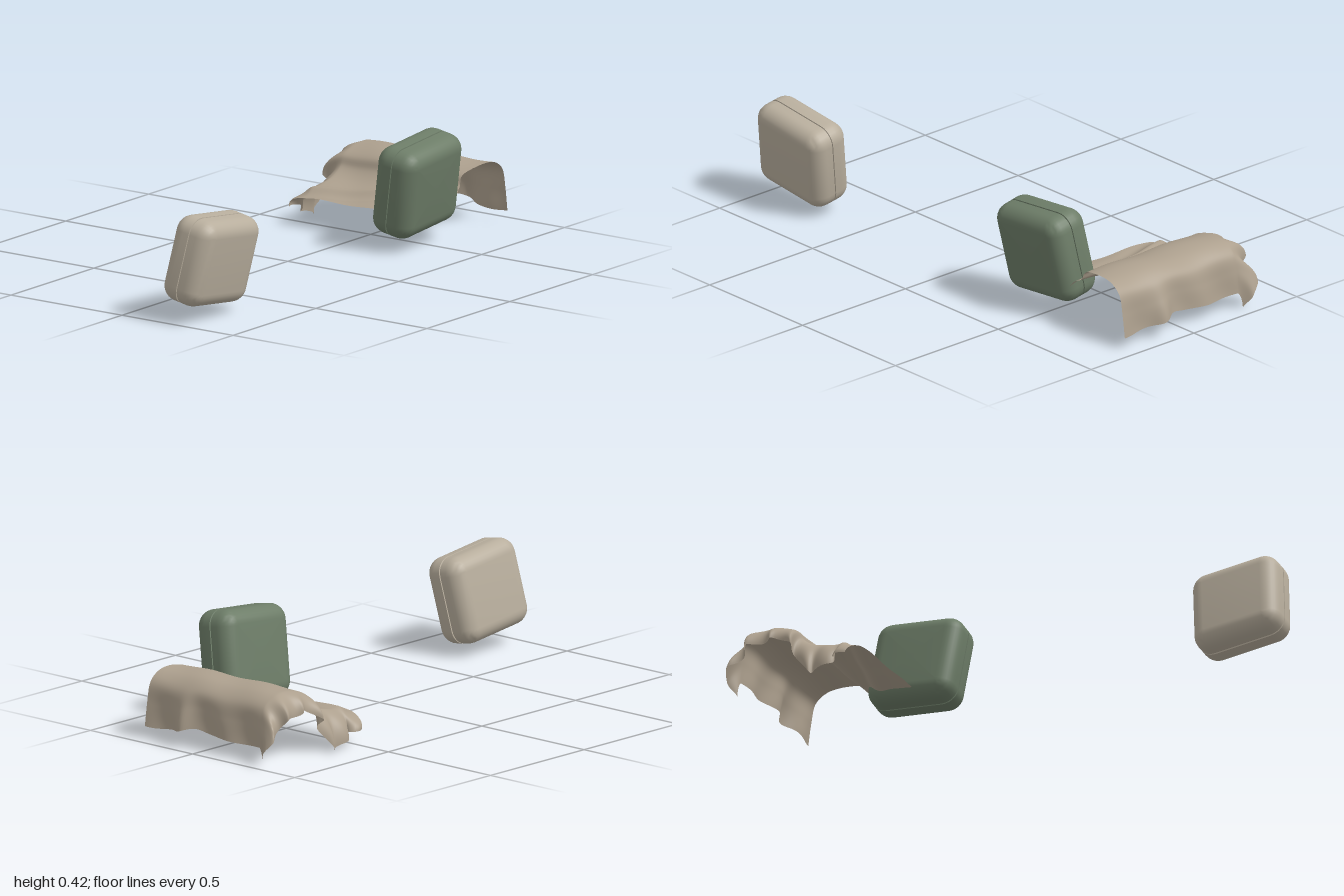
import * as THREE from 'three';
import { toCreasedNormals } from 'three/addons/utils/BufferGeometryUtils.js';

// Grid of points (rows x cols) turned into an indexed geometry
function gridGeometry(rows, cols, point) {
  const pos = [], index = [];
  for (let i = 0; i <= rows; i++)
    for (let j = 0; j <= cols; j++) pos.push(...point(i, j));
  for (let i = 0; i < rows; i++)
    for (let j = 0; j < cols; j++) {
      const a = i * (cols + 1) + j, b = a + 1, c = a + cols + 1, d = c + 1;
      index.push(a, b, c, b, d, c);
    }
  const geo = new THREE.BufferGeometry();
  geo.setAttribute('position', new THREE.Float32BufferAttribute(pos, 3));
  geo.setIndex(index);
  geo.computeVertexNormals();
  return geo;
}

// Box cushion: rounded-square rings lofted through the thickness, with a seam groove
function cushion(name, color, thick, high, long, radius = 0.06) {
  const half = thick / 2, steps = 8, inset = 0.056;
  const side = []; // [distance from the middle, inset]
  side.push([0, 0.004], [0.002, 0.004], [0.003, 0]);
  for (let k = 0; k <= steps; k++) {
    const a = (k / steps) * Math.PI / 2;
    side.push([half - inset * (1 - Math.sin(a)), inset * (1 - Math.cos(a))]);
  }
  side.push([half, null]); // closing centre point
  const rings = [
    ...side.slice(1).reverse().map(([x, e]) => [-x, e]),
    ...side,
  ];
  const perCorner = 7, cols = perCorner * 4;
  const geo = gridGeometry(rings.length - 1, cols, (i, j) => {
    const [x, e] = rings[i];
    if (e === null) return [x, 0, 0];
    const jj = j % cols, q = Math.floor(jj / perCorner);
    const a = (q + (jj % perCorner) / (perCorner - 1)) * Math.PI / 2;
    const sy = q === 0 || q === 3 ? 1 : -1, sz = q < 2 ? 1 : -1;
    const r = radius - e;
    return [x, sy * (high / 2 - radius) + r * Math.cos(a), sz * (long / 2 - radius) + r * Math.sin(a)];
  });
  const mesh = new THREE.Mesh(toCreasedNormals(geo, 0.6), new THREE.MeshStandardMaterial({ color }));
  mesh.name = name;
  return mesh;
}

// Draped blanket: one arched section swept along x, falling over at the left end
function blanket() {
  const section = new THREE.CatmullRomCurve3([
    [0.11, -0.45], [0.125, -0.54], [0.15, -0.64], [0.18, -0.683], [0.215, -0.7], [0.238, -0.745],
    [0.247, -0.81], [0.236, -0.87], [0.2, -0.915], [0.135, -0.932], [0.058, -0.942],
  ].map(([y, z]) => new THREE.Vector3(0, y, z)));
  // Hang of the left hem, from the front edge to the back edge
  const hang = new THREE.CatmullRomCurve3([0.05, 0.09, 0.14, 0.09, 0.07, 0.075, 0.08, 0.075, 0.06]
    .map((d, i) => new THREE.Vector3(i / 8, d, 0)));
  const bump = (x, c, w) => Math.exp(-(((x - c) / w) ** 2));
  const rows = 80, cols = 80;
  const geo = gridGeometry(rows, cols, (i, j) => {
    const v = j / cols, u = i / rows;
    const p = section.getPointAt(v);
    // Even run from the right end, then a curved fall over the last part
    const flat = Math.min(u / 0.75, 1), fall = Math.max((u - 0.75) / 0.25, 0);
    const rightEdge = 0.285 - 0.025 * bump(v, 0.42, 0.1);
    let x = rightEdge + (-0.27 - rightEdge) * flat;
    let { y, z } = p;
    const back = THREE.MathUtils.smoothstep(v, 0.74, 1);
    // Long diagonal fold on the front flap
    const foldZ = -0.5 - 0.27 * (x + 0.33);
    y += 0.012 * bump(z, foldZ, 0.02) * (1 - back);
    y -= 0.008 * bump(z, foldZ + 0.05, 0.03) * (1 - back);
    // Soft waves along the roll and in the hanging back
    y += 0.003 * Math.sin(x * 23 + v * 9);
    y += back * (0.018 * bump(x, 0.05, 0.05) - 0.02 * bump(x, 0.24, 0.09));
    z -= back * (0.022 * bump(x, 0.1, 0.035) + 0.008 * Math.sin(x * 31 + v * 5) - 0.006);
    // Left end drops in gathered pleats
    const pleat = Math.sin(v * 47) * 0.6 + Math.sin(v * 29 + 1) * 0.4;
    x -= Math.sin(fall * Math.PI / 2) * (0.075 + 0.018 * pleat) * (1 - 0.72 * bump(v, 1, 0.1));
    y -= hang.getPoint(v).y * fall ** 1.5;
    y += 0.008 * fall * Math.sin(v * 38) * (1 - back);
    z += 0.012 * fall * Math.sin(v * 41 + 2) * (1 - back);
    z -= 0.04 * fall * Math.exp(-(((v - 0.9) / 0.07) ** 2));
    z -= 0.04 * fall * bump(v, 0, 0.1);
    return [x, Math.max(y, 0), z];
  });
  const mesh = new THREE.Mesh(geo, new THREE.MeshStandardMaterial({ color: 0xada08e, side: THREE.DoubleSide }));
  mesh.name = 'drapedBlanket';
  return mesh;
}

export function createModel() {
  const group = new THREE.Group();
  group.name = 'cushionsAndBlanket';

  const front = cushion('beigeCushion', 0xb8ae9d, 0.17, 0.325, 0.345);
  front.position.set(0.265, 0.215, 0.815);
  front.rotation.set(-0.12, 0, -0.18);

  const rear = cushion('greenCushion', 0x6d7d68, 0.172, 0.34, 0.345);
  rear.position.set(0.236, 0.233, -0.465);
  rear.rotation.set(0.09, 0, -0.18);

  group.add(front, rear, blanket());
  return group;
}
